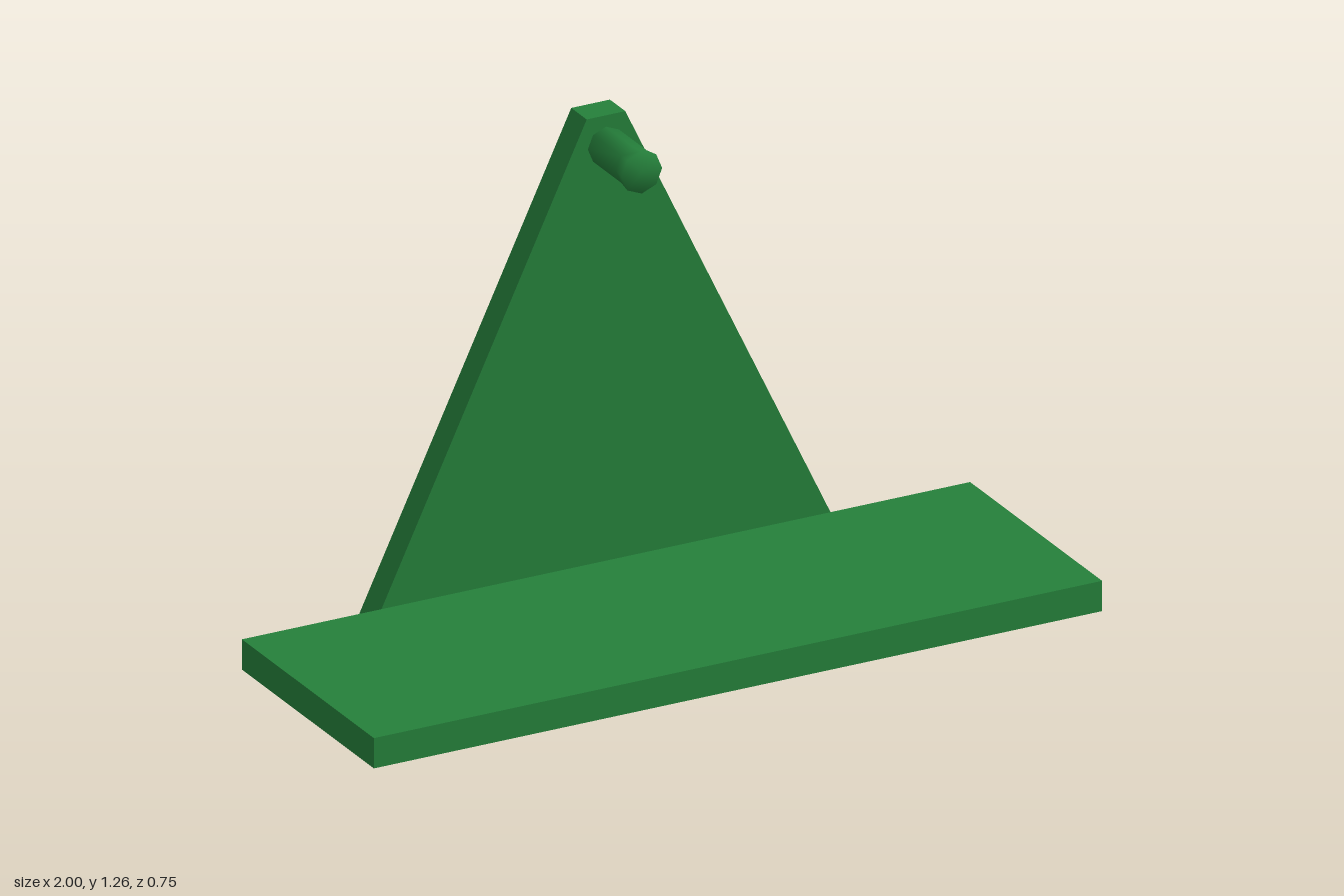
import * as THREE from 'three';

export function createModel() {
  const group = new THREE.Group();
  const green = new THREE.MeshStandardMaterial({ color: 0x25803b });
  green.name = 'green';

  const add = (name, geometry, x, y, z) => {
    const mesh = new THREE.Mesh(geometry, green);
    mesh.name = name;
    mesh.position.set(x, y, z);
    group.add(mesh);
  };

  // Flat base slab
  const front = 0.377, back = -0.377, wallFront = -0.298, baseHeight = 0.08;
  const baseDepth = front - wallFront;
  add('base', new THREE.BoxGeometry(2, baseHeight, baseDepth),
    0, baseHeight / 2, (front + wallFront) / 2);

  // Tapered upright behind the base
  const outline = new THREE.Shape([
    new THREE.Vector2(-0.655, 0),
    new THREE.Vector2(0.655, 0),
    new THREE.Vector2(0.053, 1.257),
    new THREE.Vector2(-0.053, 1.257),
  ]);
  add('upright', new THREE.ExtrudeGeometry(outline, { depth: wallFront - back, bevelEnabled: false }),
    0, 0, back);

  // Eight-sided peg with a flared tip, pointing forward
  const profile = [[0, 0], [0.05, 0], [0.05, 0.143], [0.056, 0.183], [0, 0.183]]
    .map(([r, h]) => new THREE.Vector2(r, h));
  const peg = new THREE.LatheGeometry(profile, 8);
  peg.rotateX(Math.PI / 2);
  add('peg', peg, 0, 1.177, wallFront);

  return group;
}
